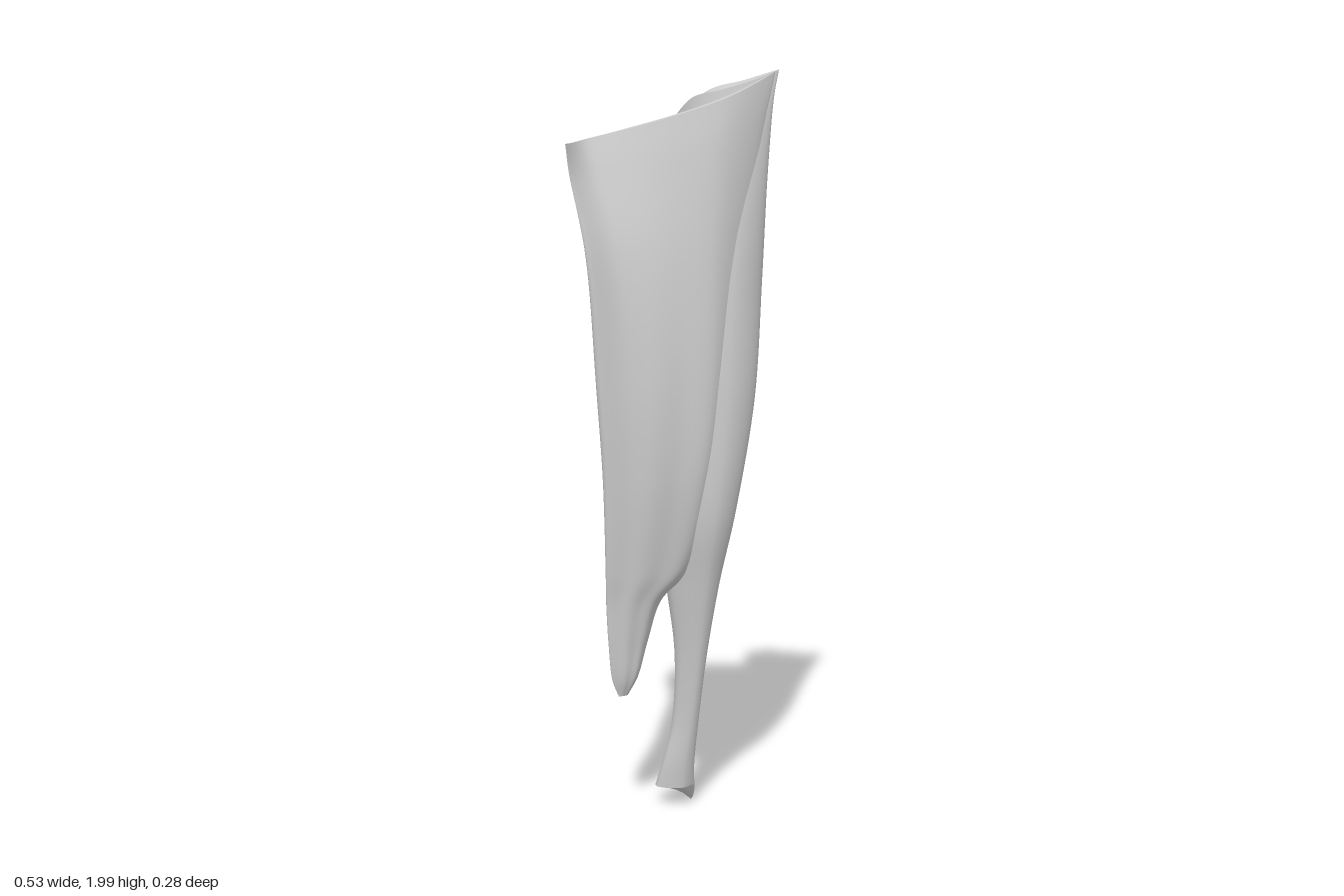
import * as THREE from 'three';

const material = new THREE.MeshStandardMaterial({ color: 0xcccccc, side: THREE.DoubleSide });
const { lerp, smoothstep } = THREE.MathUtils;

// The upper rim climbs from the right flange to the left peak.
function slant(x, y) {
  if (y < 1.2) return y;
  const rim = 1.81 + 0.19 * Math.pow(Math.max(0, (x + 0.27) / 0.51), 1.6);
  return y + (rim - 1.9) * ((y - 1.2) / 0.7) ** 2;
}

// Smooth loft through closed rings (bottom to top, counterclockwise from above).
function loft(rings, around, rows) {
  const columns = rings[0].map((_, i) => new THREE.CatmullRomCurve3(rings.map((r) => r[i])));
  const pos = [], idx = [];
  for (let j = 0; j <= rows; j++) {
    const ring = new THREE.CatmullRomCurve3(columns.map((c) => c.getPoint(j / rows)), true);
    for (let i = 0; i < around; i++) {
      const p = ring.getPoint(i / around);
      pos.push(p.x, Math.max(0, slant(p.x, p.y)), p.z);
    }
  }
  for (let j = 0; j < rows; j++) {
    for (let i = 0; i < around; i++) {
      const a = j * around + i, b = j * around + ((i + 1) % around);
      idx.push(a, b, b + around, a, b + around, a + around);
    }
  }
  // End caps, zipped across each ring
  for (const [row, up] of [[0, false], [rows, true]]) {
    const from = row * around * 3, base = pos.length / 3;
    pos.push(...pos.slice(from, from + around * 3));
    for (let i = 0; i < around / 2; i++) {
      const a = base + i, b = a + 1, c = base + around - i - 1, d = base + ((around - i) % around);
      if (up) idx.push(a, b, c, a, c, d);
      else idx.push(a, c, b, a, d, c);
    }
  }
  const geometry = new THREE.BufferGeometry();
  geometry.setAttribute('position', new THREE.Float32BufferAttribute(pos, 3));
  geometry.setIndex(idx);
  geometry.computeVertexNormals();
  return geometry;
}

// Belly section as fractions of its width and depth, and the oblique ridge it turns into
const section = [[0.86, 0.93], [1, 0.53], [0.84, 0.11], [0.53, 0], [0.21, 0.04], [0, 0.44], [0.46, 1]];
const ridge = [[0.24, 0.14], [0.2, 0.05], [0.155, -0.05], [0.11, -0.13], [0.12, -0.07], [0.155, 0.01], [0.195, 0.09]];

// Belly ring: right and left x, back and front z, share of ridge, drop of the foot's outer tip
function bellyRing([y, x0, x1, z0, z1, share = 0, drop = 0]) {
  return section.map(([u, v], i) => new THREE.Vector3(
    lerp(lerp(x0, x1, u), ridge[i][0], share),
    y - (i === 1 ? drop : 0) - (i === 3 ? 0.04 * share : 0),
    lerp(lerp(z0, z1, v), ridge[i][1], share)));
}

// Sheet ring: an S-shaped centreline from left to right, curling forward at its end, thickened to both sides
function sheetRing([y, half, x0, x1, z0, z1, curl]) {
  const line = Array.from({ length: 6 }, (_, i) => new THREE.Vector3(
    lerp(x0, x1, (i / 5) ** 0.9), y, lerp(z0, z1, smoothstep(i, 0, 4)) + (i === 5 ? curl : 0)));
  const side = (i, s) => {
    const d = line[i + 1].clone().sub(line[i - 1]).setLength(s * half * (i === 4 ? 0.6 : 1));
    return new THREE.Vector3(line[i].x - d.z, y, line[i].z + d.x);
  };
  return [line[0], ...[1, 2, 3, 4].map((i) => side(i, 1)), line[5], ...[4, 3, 2, 1].map((i) => side(i, -1))];
}

export function createModel() {
  const group = new THREE.Group();
  group.name = 'muscle';
  const add = (name, geometry) => {
    const mesh = new THREE.Mesh(geometry, material);
    mesh.name = name;
    group.add(mesh);
  };

  // Thick belly narrowing into the tendon
  add('bellyAndTendon', loft([
    [0.065, 0.028, 0.135, -0.138, -0.05, 0, 0.055],
    [0.13, 0.037, 0.125, -0.115, -0.04],
    [0.25, 0.055, 0.12, -0.09, -0.02],
    [0.45, 0.05, 0.125, -0.075, 0.015],
    [0.65, 0.02, 0.145, -0.09, 0.055],
    [0.85, -0.01, 0.175, -0.1, 0.1],
    [1.15, -0.02, 0.235, -0.11, 0.115],
    [1.45, 0, 0.267, -0.12, 0.105],
    [1.7, 0.03, 0.268, -0.125, 0.1, 0.35],
    [1.85, 0.06, 0.235, -0.125, 0.1, 0.8],
    [1.9, 0.06, 0.24, -0.13, 0.1, 1],
  ].map(bellyRing), 56, 90));

  // Broad fan, full in the middle, with a flared rim above and a rounded lobe below
  add('fanSheet', loft([
    [0.352, 0.004, -0.085, -0.115, -0.08, -0.08, 0],
    [0.4, 0.018, -0.057, -0.135, -0.075, -0.08, 0],
    [0.5, 0.025, -0.03, -0.15, -0.065, -0.075, 0],
    [0.61, 0.034, 0, -0.16, -0.045, -0.07, 0],
    [0.7, 0.05, 0.08, -0.168, -0.01, -0.06, 0],
    [0.95, 0.077, 0.14, -0.187, 0.025, -0.045, 0.005],
    [1.2, 0.085, 0.18, -0.212, 0.035, -0.045, 0.015],
    [1.55, 0.052, 0.2, -0.24, 0.075, -0.06, 0.025],
    [1.8, 0.022, 0.215, -0.26, 0.115, -0.115, 0.035],
    [1.9, 0.008, 0.235, -0.268, 0.135, -0.138, 0.053],
  ].map(sheetRing), 60, 90));
  return group;
}
